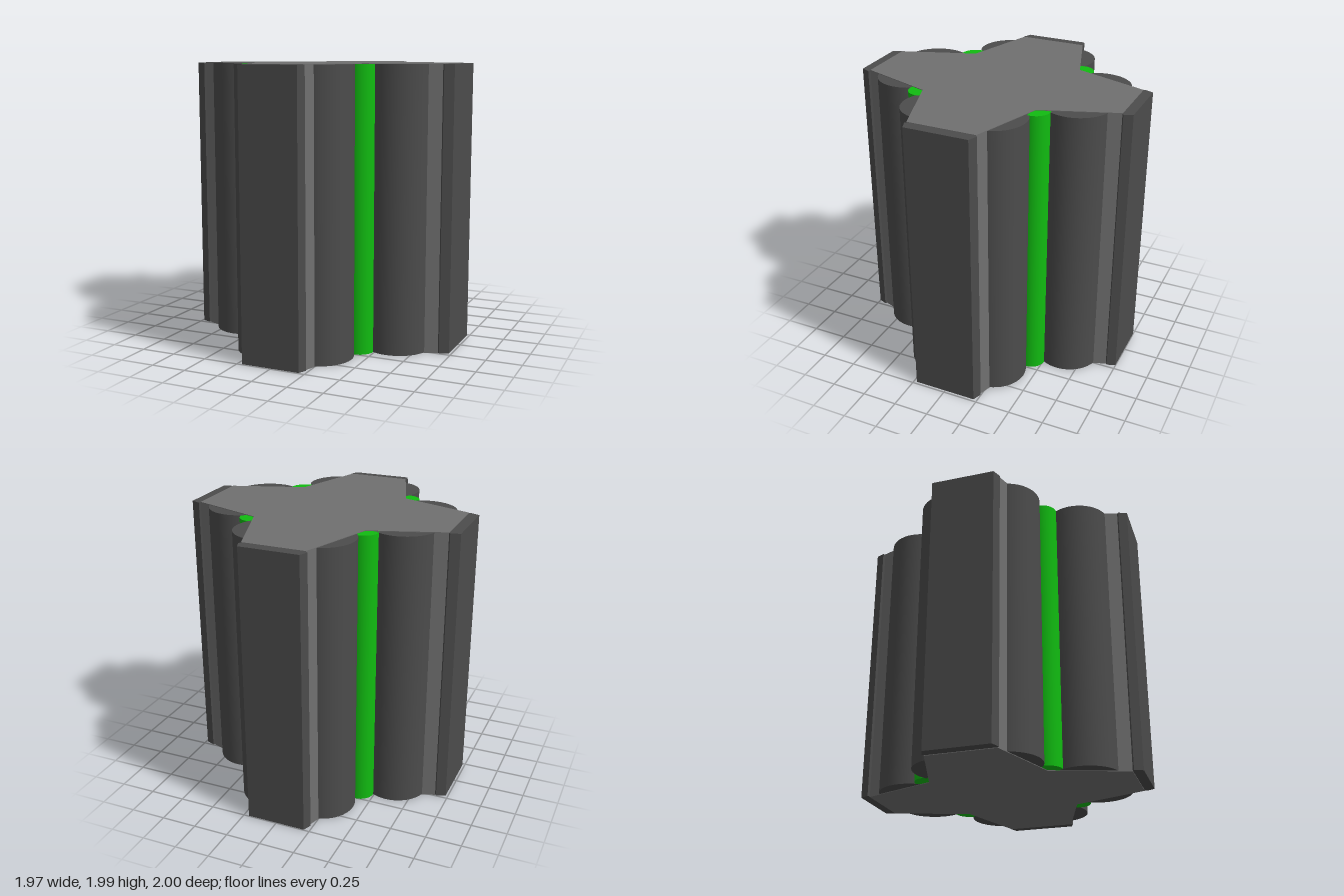
import * as THREE from 'three';

const HEIGHT = 1.985;

// Vertical prism from plan points [x, z]
function prism(name, plan, y0, y1, material) {
  const shape = new THREE.Shape(plan.map(([x, z]) => new THREE.Vector2(x, -z)));
  const geometry = new THREE.ExtrudeGeometry(shape, { depth: y1 - y0, bevelEnabled: false });
  geometry.rotateX(-Math.PI / 2);
  geometry.translate(0, y0, 0);
  const mesh = new THREE.Mesh(geometry, material);
  mesh.name = name;
  return mesh;
}

// Vertical round column standing just inside the core's height
function column(name, x, z, radius, material) {
  const h = HEIGHT - 0.008;
  const mesh = new THREE.Mesh(new THREE.CylinderGeometry(radius, radius, h, 48), material);
  mesh.position.set(x, HEIGHT / 2, z);
  mesh.name = name;
  return mesh;
}

export function createModel() {
  const model = new THREE.Group();
  model.name = 'crossColumn';
  const coreMaterial = new THREE.MeshStandardMaterial({ color: 0x707070 });
  const darkMaterial = new THREE.MeshStandardMaterial({ color: 0x4c4c4c });
  const greenMaterial = new THREE.MeshStandardMaterial({ color: 0x11bb11 });

  // Cross-shaped core with four tapering arms
  model.add(prism('core', [
    [0.91, -0.24], [0.91, 0.24], [0.4, 0.41], [0.22, 0.93],
    [-0.22, 0.93], [-0.4, 0.41], [-0.91, 0.24], [-0.91, -0.24],
    [-0.4, -0.41], [-0.22, -0.93], [0.22, -0.93], [0.4, -0.41],
  ], 0, HEIGHT, coreMaterial));

  // Chamfered plates capping the ends of the arms
  const y0 = 0.004, y1 = HEIGHT - 0.004;
  for (const s of [1, -1]) {
    model.add(prism(s > 0 ? 'frontPlate' : 'backPlate', [
      [-0.21, s], [0.21, s], [0.235, s * 0.94], [0.215, s * 0.925],
      [-0.215, s * 0.925], [-0.235, s * 0.94],
    ], y0, y1, darkMaterial));
    model.add(prism(s > 0 ? 'leftPlate' : 'rightPlate', [
      [s * 0.985, -0.225], [s * 0.985, 0.225], [s * 0.92, 0.25], [s * 0.905, 0.235],
      [s * 0.905, -0.235], [s * 0.92, -0.25],
    ], y0, y1, darkMaterial));
  }

  // Two dark columns and one green rod in each quadrant
  for (const sx of [1, -1]) {
    for (const sz of [1, -1]) {
      const corner = (sz > 0 ? 'front' : 'back') + (sx > 0 ? 'Left' : 'Right');
      model.add(column(corner + 'EndColumn', sx * 0.19, sz * 0.62, 0.23, darkMaterial));
      model.add(column(corner + 'SideColumn', sx * 0.6, sz * 0.205, 0.23, darkMaterial));
      model.add(column(corner + 'GreenRod', sx * 0.395, sz * 0.41, 0.1, greenMaterial));
    }
  }
  return model;
}
